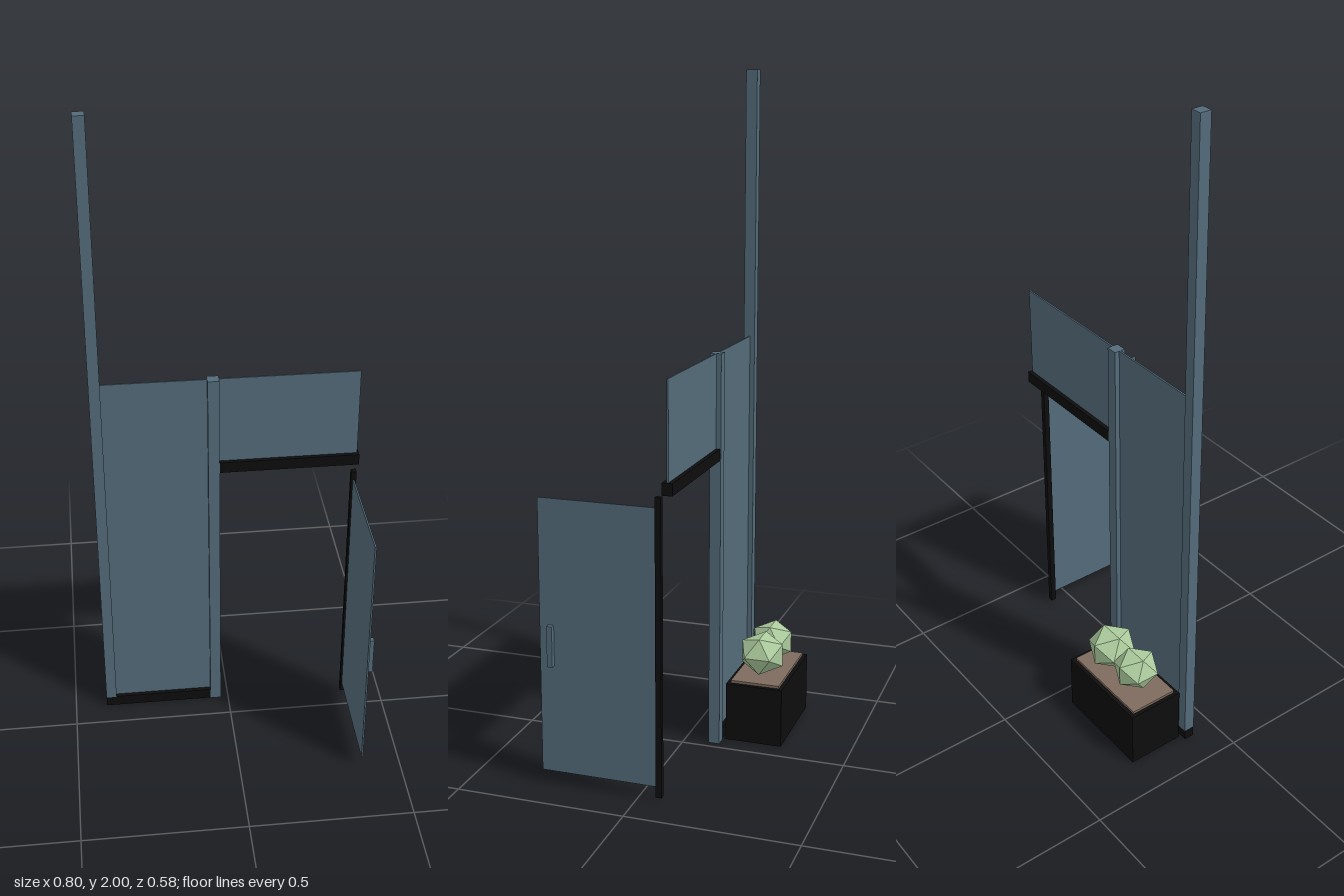
import * as THREE from 'three';

const material = (name, color) => {
  const m = new THREE.MeshStandardMaterial({ color });
  m.name = name;
  return m;
};

export function createModel() {
  const blue = material('slate blue', 0x546b7a);
  const black = material('black', 0x0d0d0d);
  const soil = material('soil brown', 0x7d6b5d);
  const green = material('leaf green', 0xaccb9d);

  const model = new THREE.Group();
  model.name = 'entrancePartition';

  // Box given by its lower and upper limits on each axis
  const box = (parent, name, mat, [x0, x1], [y0, y1], [z0, z1]) => {
    const mesh = new THREE.Mesh(new THREE.BoxGeometry(x1 - x0, y1 - y0, z1 - z0), mat);
    mesh.position.set((x0 + x1) / 2, (y0 + y1) / 2, (z0 + z1) / 2);
    mesh.name = name;
    parent.add(mesh);
  };
  const group = (name) => {
    const g = new THREE.Group();
    g.name = name;
    model.add(g);
    return g;
  };

  // Fixed frame: posts, rails and the two panels
  const frame = group('frame');
  const postZ = [-0.11, -0.076], railZ = [-0.108, -0.078], paneZ = [-0.0955, -0.0905];
  box(frame, 'tallPost', blue, [-0.4, -0.367], [0.035, 2], postZ);
  box(frame, 'middlePost', blue, [-0.058, -0.024], [0, 1.2], postZ);
  box(frame, 'baseRail', black, [-0.4, -0.058], [0, 0.035], railZ);
  box(frame, 'headerRail', black, [-0.024, 0.398], [0.885, 0.92], railZ);
  box(frame, 'sidePanel', blue, [-0.367, -0.058], [0.035, 1.2], paneZ);
  box(frame, 'transomPanel', blue, [-0.024, 0.393], [0.92, 1.2], paneZ);

  // Door standing open at a right angle
  const door = group('door');
  box(door, 'hingePost', black, [0.371, 0.387], [0.01, 0.875], [-0.071, -0.054]);
  box(door, 'doorLeaf', blue, [0.3765, 0.3815], [0.04, 0.845], [-0.054, 0.291]);
  box(door, 'doorHandle', blue, [0.385, 0.4], [0.36, 0.48], [0.247, 0.263]);

  // Planter behind the side panel
  const planter = group('planter');
  box(planter, 'planterBox', black, [-0.38, -0.065], [0, 0.18], [-0.292, -0.118]);
  box(planter, 'soil', soil, [-0.368, -0.077], [0.178, 0.188], [-0.28, -0.13]);

  // Two faceted shrubs
  for (const [x, r] of [[-0.28, 0.07], [-0.16, 0.075]]) {
    const shrub = new THREE.Mesh(new THREE.IcosahedronGeometry(r, 0), green);
    shrub.scale.y = 0.88;
    shrub.position.set(x, 0.255, -0.205);
    shrub.name = 'shrub';
    planter.add(shrub);
  }
  return model;
}
